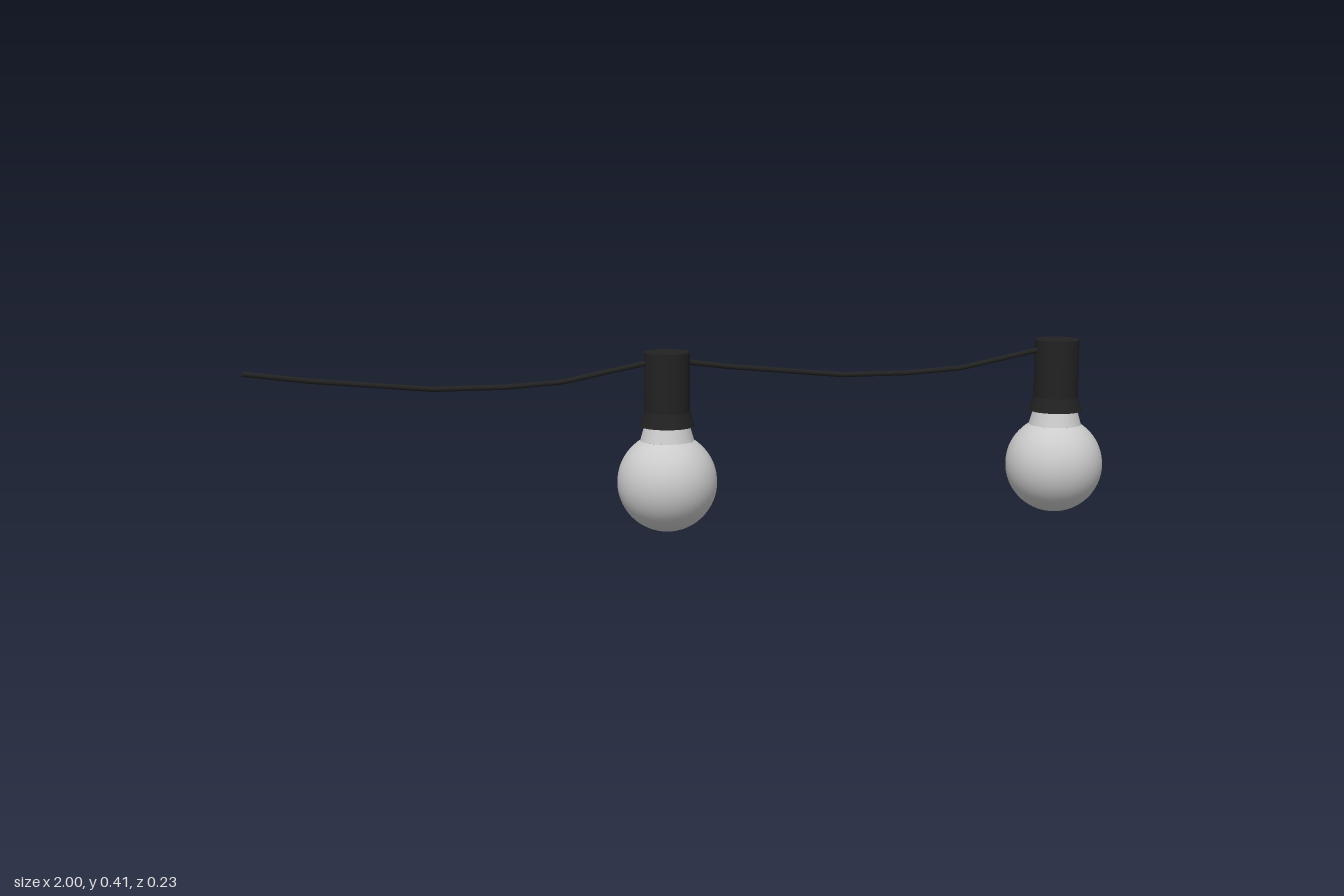
import * as THREE from 'three';

const black = new THREE.MeshStandardMaterial({ color: 0x222222 });
const glass = new THREE.MeshStandardMaterial({ color: 0xcccccc });
const BULBS = [-0.06, 0.885];
const SPAN = 0.943;

function lathe(name, points, material) {
  const geometry = new THREE.LatheGeometry(points.map(([r, y]) => new THREE.Vector2(r, y)), 40);
  const mesh = new THREE.Mesh(geometry, material);
  mesh.name = name;
  return mesh;
}

function createLamp() {
  const lamp = new THREE.Group();
  lamp.name = 'lamp';

  // Round globe, ending where the neck begins
  const globe = [];
  const end = Math.PI - 0.57;
  for (let i = 0; i <= 28; i++) {
    const a = (end * i) / 28;
    globe.push([0.114 * Math.sin(a), 0.114 - 0.114 * Math.cos(a)]);
  }
  lamp.add(lathe('bulbGlobe', globe, glass));
  lamp.add(lathe('bulbNeck', [[0.0615, 0.21], [0.05, 0.25]], glass));

  // Socket: straight barrel with a flared skirt; separate pieces keep the edges sharp
  lamp.add(lathe('socketBase', [[0, 0.243], [0.062, 0.243]], black));
  lamp.add(lathe('socketSkirt', [[0.062, 0.243], [0.052, 0.276]], black));
  lamp.add(lathe('socketBarrel', [[0.052, 0.276], [0.052, 0.412]], black));
  lamp.add(lathe('socketTop', [[0.052, 0.412], [0, 0.412]], black));
  return lamp;
}

// One sagging length of cord made of straight runs
function createCord() {
  const points = [
    [0, 0.394], [0.14, 0.374], [0.41, 0.346], [0.57, 0.345],
    [0.70, 0.352], [0.89, 0.388], [SPAN, 0.395],
  ].map(([x, y]) => new THREE.Vector3(x, y, 0));
  const path = new THREE.CurvePath();
  for (let i = 1; i < points.length; i++) path.add(new THREE.LineCurve3(points[i - 1], points[i]));
  const cord = new THREE.Mesh(new THREE.TubeGeometry(path, 60, 0.006, 8), black);
  cord.name = 'cord';

  // Close both cord ends
  for (const [p, turn] of [[points[0], -1], [points[points.length - 1], 1]]) {
    const cap = new THREE.Mesh(new THREE.CircleGeometry(0.006, 8), black);
    cap.name = 'cordEnd';
    cap.position.copy(p);
    cap.rotation.y = (turn * Math.PI) / 2;
    cord.add(cap);
  }
  return cord;
}

export function createModel() {
  const model = new THREE.Group();
  model.name = 'stringLights';
  for (const x of BULBS) {
    const lamp = createLamp();
    lamp.position.x = x;
    const cord = createCord();
    cord.position.x = x - SPAN + 0.003;
    model.add(lamp, cord);
  }
  return model;
}
